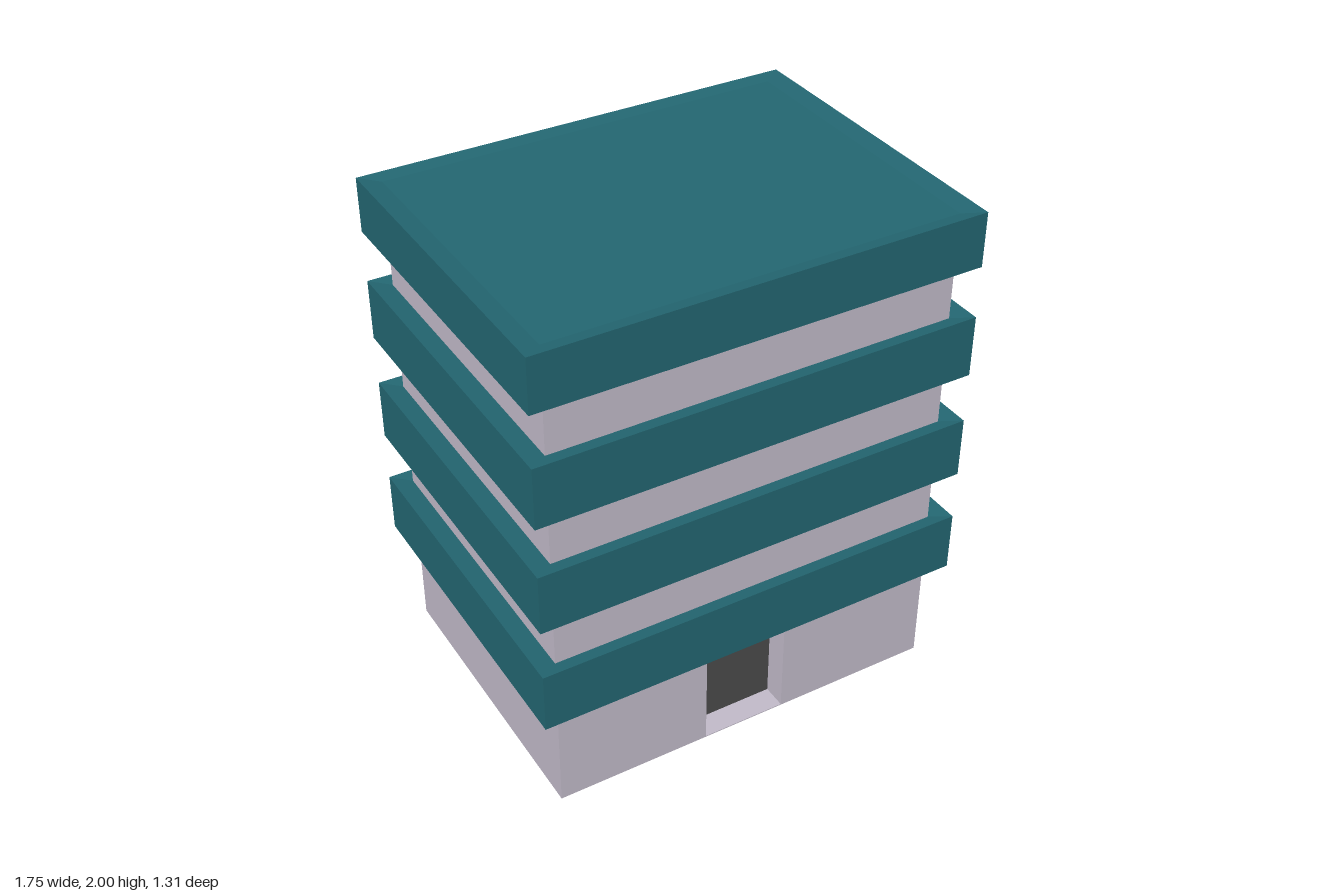
import * as THREE from 'three';

const WALL_W = 0.8, WALL_D = 0.6;      // half sizes of the walls
const BAND_W = 0.875, BAND_D = 0.655;  // half sizes of the floor bands
const DOOR = { left: -0.18, right: 0.16, height: 0.44, back: 0.5 };

// Closed solid from stacked rectangular rings [halfWidth, halfDepth, y]
function ringSolid(rings) {
  const loops = rings.map(([w, d, y]) => [[-w, y, d], [w, y, d], [w, y, -d], [-w, y, -d]]);
  const pos = [];
  const quad = (a, b, c, d) => pos.push(...a, ...b, ...c, ...a, ...c, ...d);
  for (let i = 0; i < loops.length - 1; i++) {
    const lo = loops[i], hi = loops[i + 1];
    for (let k = 0; k < 4; k++) quad(lo[k], lo[(k + 1) % 4], hi[(k + 1) % 4], hi[k]);
  }
  quad(...loops[loops.length - 1]);
  quad(...[...loops[0]].reverse());
  const geometry = new THREE.BufferGeometry();
  geometry.setAttribute('position', new THREE.Float32BufferAttribute(pos, 3));
  geometry.computeVertexNormals();
  return geometry;
}

export function createModel() {
  const building = new THREE.Group();
  building.name = 'building';
  const wallMat = new THREE.MeshStandardMaterial({ color: 0xc1bac9 });
  const bandMat = new THREE.MeshStandardMaterial({ color: 0x236671 });
  const doorMat = new THREE.MeshStandardMaterial({ color: 0x4a4a4a });

  const add = (name, geometry, material, x = 0, y = 0, z = 0) => {
    const mesh = new THREE.Mesh(geometry, material);
    mesh.name = name;
    mesh.position.set(x, y, z);
    building.add(mesh);
  };

  // Ground storey: footprint with the entrance notch, extruded upwards
  const plan = new THREE.Shape([
    [-WALL_W, -WALL_D], [DOOR.left, -WALL_D], [DOOR.left, -DOOR.back], [DOOR.right, -DOOR.back],
    [DOOR.right, -WALL_D], [WALL_W, -WALL_D], [WALL_W, WALL_D], [-WALL_W, WALL_D],
  ].map(([x, y]) => new THREE.Vector2(x, y)));
  const ground = new THREE.ExtrudeGeometry(plan, { depth: DOOR.height, bevelEnabled: false });
  ground.rotateX(-Math.PI / 2);
  add('groundStorey', ground, wallMat);

  // Entrance: dark door at the back of the notch and a thin threshold
  const doorW = DOOR.right - DOOR.left, doorX = (DOOR.left + DOOR.right) / 2;
  const notch = WALL_D - DOOR.back;
  add('door', new THREE.BoxGeometry(doorW, DOOR.height, 0.004), doorMat, doorX, DOOR.height / 2, DOOR.back + 0.002);
  add('threshold', new THREE.BoxGeometry(doorW, 0.004, notch), wallMat, doorX, 0.002, DOOR.back + notch / 2);

  // Projecting bands with a slightly dished top, and the walls between them
  const bands = [[0.44, 0.685], [0.888, 1.133], [1.335, 1.58], [1.785, 2]];
  bands.forEach(([bottom, top], i) => {
    add(i === 3 ? 'roofBand' : `floorBand${i + 1}`, ringSolid([
      [BAND_W, BAND_D, bottom], [BAND_W, BAND_D, top], [WALL_W, WALL_D, top - 0.01],
    ]), bandMat);
    if (i === 3) return;
    const from = top - 0.02, height = bands[i + 1][0] - from;
    add(`upperStorey${i + 1}`, new THREE.BoxGeometry(2 * WALL_W, height, 2 * WALL_D), wallMat, 0, from + height / 2, 0);
  });

  return building;
}
